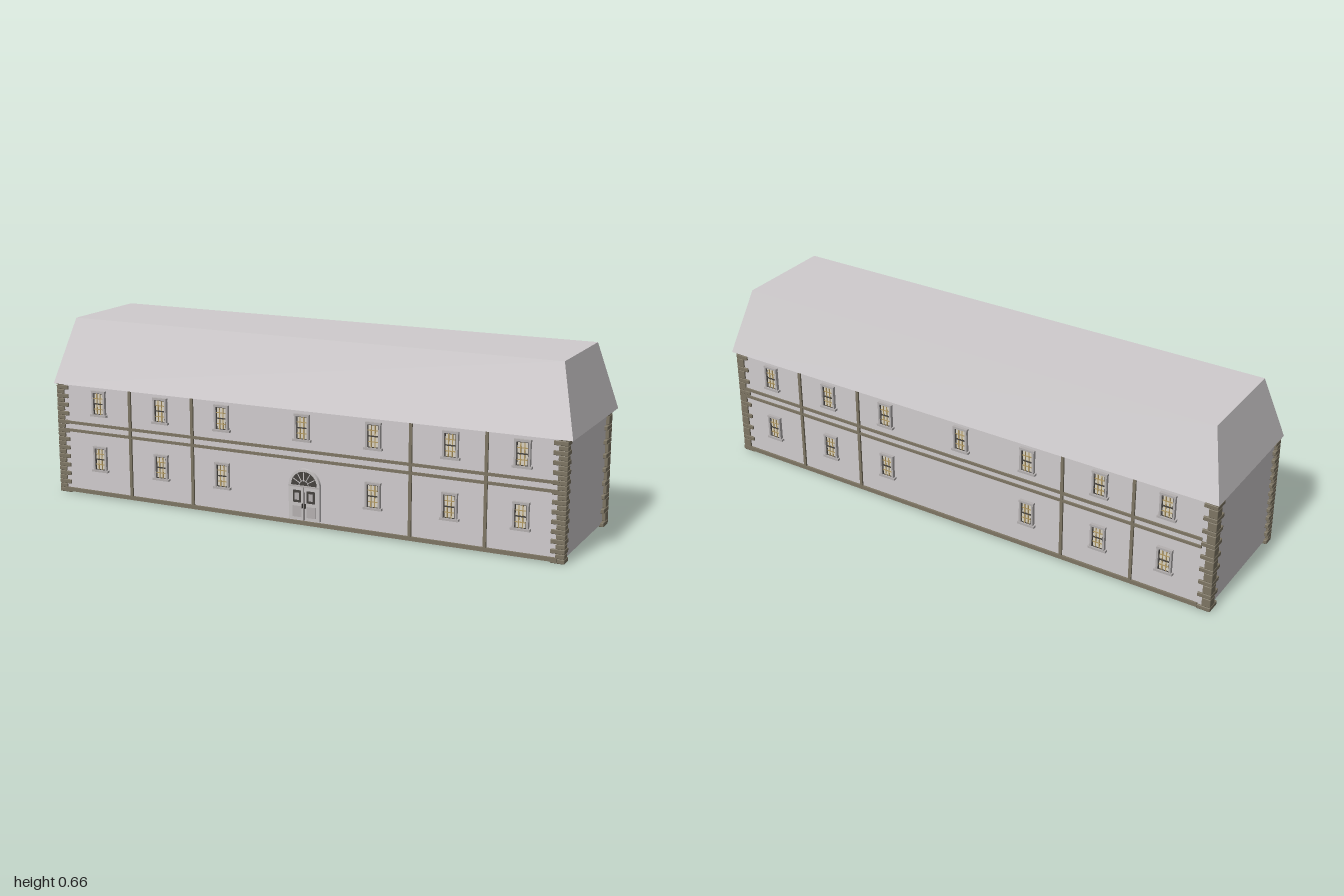
import * as THREE from 'three';
import { RoundedBoxGeometry } from 'three/addons/geometries/RoundedBoxGeometry.js';

const mat = (name, color, side = THREE.FrontSide) => {
  const m = new THREE.MeshStandardMaterial({ color, side });
  m.name = name;
  return m;
};

export function createModel() {
  const wallMat = mat('pale wall', 0xcfcbcd, THREE.DoubleSide);
  const roofMat = mat('pale roof', 0xcfcbcd);
  const stone = mat('brown stone', 0x7d7563);
  const frameMat = mat('grey frame', 0xb4b0b0);
  const glass = mat('cream glass', 0xd9d2c2);
  const amber = mat('amber bars', 0xb39a63);
  const dark = mat('dark iron', 0x45423e);
  const doorMat = mat('door paint', 0xc6c2c3);

  const house = new THREE.Group();
  house.name = 'longHouse';

  const add = (parent, name, geo, material, x = 0, y = 0, z = 0) => {
    const m = new THREE.Mesh(geo, material);
    m.name = name;
    m.position.set(x, y, z);
    parent.add(m);
    return m;
  };
  const box = (parent, name, w, h, d, material, x, y, z) =>
    add(parent, name, new THREE.BoxGeometry(w, h, d), material, x, y, z);
  const group = (parent, name, x = 0, y = 0, z = 0) => {
    const g = new THREE.Group();
    g.name = name;
    g.position.set(x, y, z);
    parent.add(g);
    return g;
  };

  // Hollow walls, open at the bottom
  const X0 = -0.985, X1 = 0.97, ZF = 0.245, ZB = -0.25, EAVE = 0.42;
  const cx = (X0 + X1) / 2, cz = (ZF + ZB) / 2, wallH = EAVE - 0.01;
  const walls = group(house, 'walls', cx, 0.01 + wallH / 2, cz);
  for (const s of [1, -1]) {
    const long = add(walls, 'longWall', new THREE.PlaneGeometry(X1 - X0, wallH), wallMat, 0, 0, s * (ZF - ZB) / 2);
    const end = add(walls, 'endWall', new THREE.PlaneGeometry(ZF - ZB, wallH), wallMat, s * (X1 - X0) / 2, 0, 0);
    long.rotation.y = s > 0 ? 0 : Math.PI;
    end.rotation.y = s * Math.PI / 2;
  }

  // Roof: a box whose upper corners are drawn inwards
  const roofGeo = new THREE.BoxGeometry(2, 0.24, 0.52).toNonIndexed();
  const p = roofGeo.attributes.position;
  for (let i = 0; i < p.count; i++) {
    if (p.getY(i) > 0) p.setXYZ(i, p.getX(i) * 0.94, 0.12, p.getZ(i) * 0.712);
  }
  roofGeo.computeVertexNormals();
  add(house, 'roof', roofGeo, roofMat, 0, 0.54, 0.002);

  // Corner stones, alternately long and short
  const quoins = (name, sx, sz, longH, shortH) => {
    const g = group(house, name);
    const ox = sx < 0 ? -0.997 : 0.982;
    const oz = sz < 0 ? -0.256 : 0.25;
    let y = 0.001;
    for (let i = 0; y < EAVE - 0.004; i++) {
      const isLong = i % 2 === 0;
      const h = Math.min(isLong ? longH : shortH, EAVE - y);
      const w = isLong ? 0.05 : 0.032;
      const d = isLong ? (sz < 0 ? 0.056 : 0.041) : (sz < 0 ? 0.036 : 0.028);
      add(g, 'cornerStone', new RoundedBoxGeometry(w, h - 0.0008, d, 1, 0.0025), stone,
        ox - sx * w / 2, y + h / 2, oz - sz * d / 2);
      y += h;
    }
  };
  for (const s of [1, -1]) {
    quoins('frontCornerStones', s, 1, 0.0165, 0.0165);
    quoins('backCornerStones', s, -1, 0.0165, 0.0332);
  }

  // Sash window facing +z, with its back on the wall
  const sashWindow = (parent, x, y) => {
    const g = group(parent, 'window', x, y, 0);
    for (const s of [1, -1]) box(g, 'windowJamb', 0.007, 0.09, 0.012, frameMat, s * 0.0245, 0.003, 0.006);
    box(g, 'windowHead', 0.058, 0.008, 0.012, frameMat, 0, 0.045, 0.006);
    box(g, 'windowSill', 0.068, 0.008, 0.014, frameMat, 0, -0.044, 0.007);
    box(g, 'windowPane', 0.042, 0.084, 0.004, glass, 0, 0, 0.003);
    for (const s of [1, -1]) {
      box(g, 'sashSide', 0.003, 0.082, 0.003, dark, s * 0.0195, 0, 0.006);
      box(g, 'uprightBar', 0.0035, 0.082, 0.003, amber, s * 0.007, 0, 0.006);
      box(g, 'crossBar', 0.04, 0.003, 0.003, amber, 0, s * 0.02, 0.006);
      box(g, 'sashEnd', 0.04, 0.003, 0.003, dark, 0, s * 0.0395, 0.006);
    }
    box(g, 'meetingRail', 0.04, 0.004, 0.004, dark, 0, 0, 0.0065);
  };

  // One long facade: bands, pilaster strips and windows
  const columns = [-0.81, -0.545, -0.29, 0.03, 0.30, 0.58, 0.83];
  const facade = (name, x, z, turn) => {
    const g = group(house, name, x, 0, z);
    g.rotation.y = turn;
    const mid = -0.008, len = 1.93;
    box(g, 'plinth', len, 0.014, 0.009, stone, mid, 0.014, 0.0035);
    for (const y of [0.244, 0.274]) box(g, 'floorBand', len, 0.01, 0.007, stone, mid, y, 0.0025);
    for (const px of [-0.677, -0.414, 0.436, 0.706]) {
      box(g, 'wallStrip', 0.011, wallH, 0.007, stone, px, 0.01 + wallH / 2, 0.003);
    }
    columns.forEach((wx, i) => {
      sashWindow(g, wx, 0.357);
      if (i !== 3) sashWindow(g, wx, 0.146);
    });
    return g;
  };
  const front = facade('frontFacade', 0, ZF, 0);
  facade('backFacade', 0.008, ZB, Math.PI);

  // Arched double door with fanlight
  const door = group(front, 'door', 0.04, 0.027, 0);
  const R = 0.06, spring = 0.124;
  const arch = new THREE.Shape();
  arch.moveTo(-R, 0);
  arch.lineTo(R, 0);
  arch.lineTo(R, spring);
  arch.absarc(0, spring, R, 0, Math.PI, false);
  arch.closePath();
  const extrude = (shape, depth) =>
    new THREE.ExtrudeGeometry(shape, { depth, bevelEnabled: false, curveSegments: 20 });
  add(door, 'doorBody', extrude(arch, 0.012), doorMat);

  const fan = new THREE.Shape();
  fan.absarc(0, 0, 0.049, 0, Math.PI, false);
  fan.closePath();
  add(door, 'fanlight', extrude(fan, 0.002), dark, 0, spring + 0.002, 0.012);
  for (let i = 1; i < 6; i++) {
    const a = i * Math.PI / 6;
    const bar = box(door, 'fanlightBar', 0.032, 0.0028, 0.002, doorMat,
      0.032 * Math.cos(a), spring + 0.002 + 0.032 * Math.sin(a), 0.0145);
    bar.rotation.z = a;
  }
  const hub = new THREE.TorusGeometry(0.018, 0.0015, 4, 16, Math.PI);
  add(door, 'fanlightRing', hub, doorMat, 0, spring + 0.002, 0.0145);
  box(door, 'doorTransom', 0.118, 0.005, 0.003, frameMat, 0, spring - 0.002, 0.0135);
  box(door, 'doorSeam', 0.002, 0.12, 0.001, dark, 0, 0.06, 0.0125);
  for (const s of [1, -1]) {
    box(door, 'doorPanelPane', 0.032, 0.044, 0.002, dark, s * 0.027, 0.085, 0.0125);
    box(door, 'doorPaneCentre', 0.016, 0.026, 0.002, frameMat, s * 0.027, 0.085, 0.0137);
    box(door, 'lowerDoorPanel', 0.034, 0.04, 0.002, frameMat, s * 0.027, 0.03, 0.0125);
    box(door, 'doorHandle', 0.003, 0.016, 0.005, dark, s * 0.006, 0.052, 0.0145);
  }
  return house;
}
